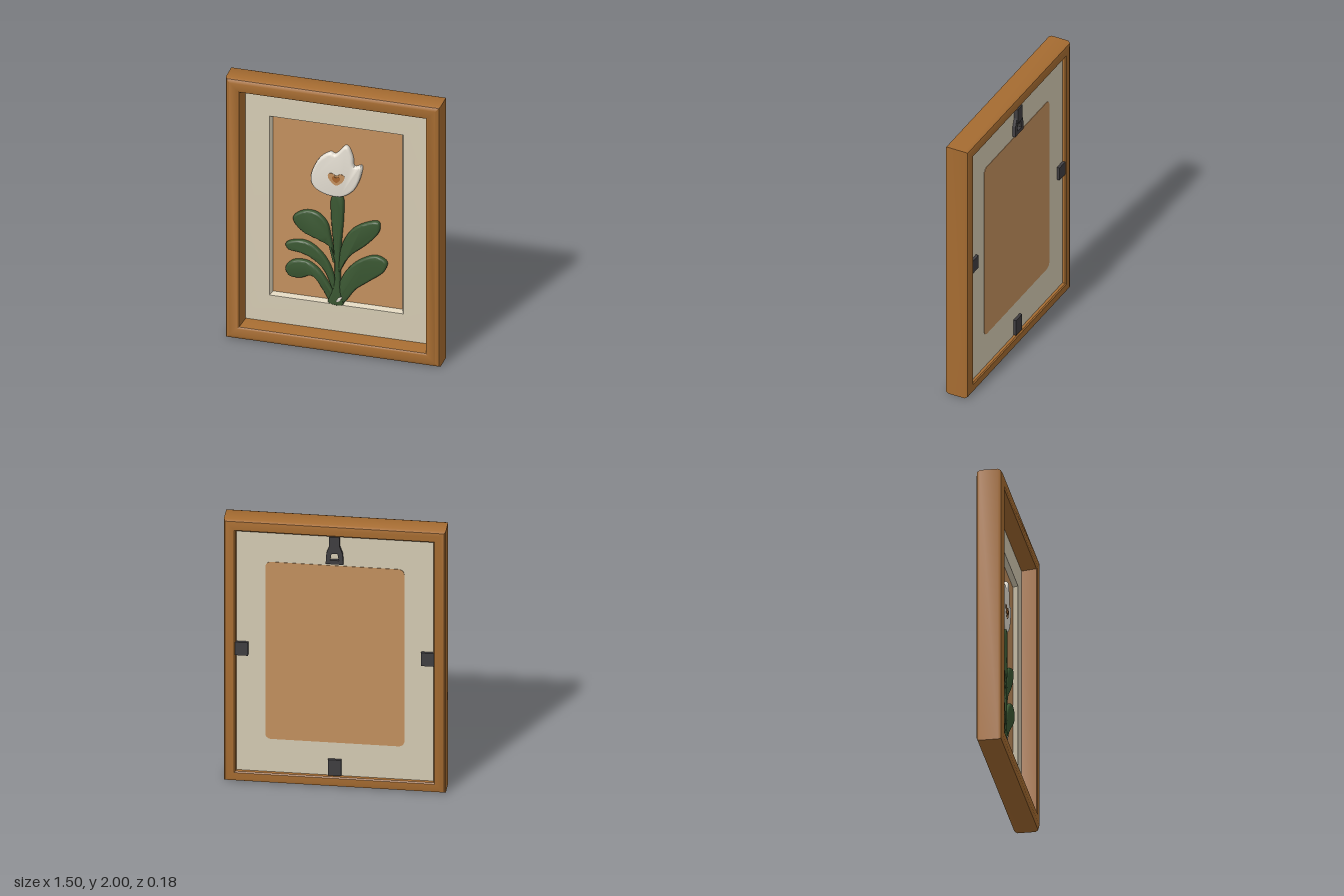
import * as THREE from 'three';
import { toCreasedNormals } from 'three/addons/utils/BufferGeometryUtils.js';

const mat = (name, color) => {
  const m = new THREE.MeshStandardMaterial({ color });
  m.name = name;
  return m;
};

// Sweeps a profile of [inset, z] points around a rectangle with mitred corners
function rectRing(halfW, halfH, cy, profile) {
  const corners = [[1, 1], [-1, 1], [-1, -1], [1, -1]];
  const at = (c, [inset, z]) => [c[0] * (halfW - inset), cy + c[1] * (halfH - inset), z];
  const pos = [];
  for (let i = 0; i < 4; i++) {
    const c0 = corners[i], c1 = corners[(i + 1) % 4];
    for (let j = 0; j < profile.length - 1; j++) {
      const a = at(c0, profile[j]), b = at(c1, profile[j]);
      const c = at(c1, profile[j + 1]), d = at(c0, profile[j + 1]);
      pos.push(...a, ...b, ...c, ...a, ...c, ...d);
    }
  }
  const g = new THREE.BufferGeometry();
  g.setAttribute('position', new THREE.Float32BufferAttribute(pos, 3));
  g.computeVertexNormals();
  return toCreasedNormals(g, 0.6);
}

// Closed smooth outline through a few points
function outline(points, samples = 56) {
  const curve = new THREE.CatmullRomCurve3(
    points.map(([x, y]) => new THREE.Vector3(x, y, 0)), true, 'centripetal');
  return new THREE.Shape(curve.getPoints(samples).slice(0, -1).map(p => new THREE.Vector2(p.x, p.y)));
}

// Pillow-edged relief standing on z0 and rising to z1
function relief(points, z0, z1, bevel) {
  const g = new THREE.ExtrudeGeometry(outline(points), {
    depth: z1 - z0 - bevel, bevelEnabled: true, bevelThickness: bevel,
    bevelSize: bevel, bevelOffset: -bevel, bevelSegments: 4, steps: 1,
  });
  g.translate(0, 0, z0);
  return toCreasedNormals(g, 0.9);
}

function plate(shape, z, depth) {
  const g = new THREE.ExtrudeGeometry(shape, { depth, bevelEnabled: false });
  g.translate(0, 0, z);
  return g;
}

function roundedRect(hw, y0, y1, r) {
  const s = new THREE.Shape();
  s.absarc(hw - r, y1 - r, r, 0, Math.PI / 2);
  s.absarc(-hw + r, y1 - r, r, Math.PI / 2, Math.PI);
  s.absarc(-hw + r, y0 + r, r, Math.PI, Math.PI * 1.5);
  s.absarc(hw - r, y0 + r, r, Math.PI * 1.5, Math.PI * 2);
  return s;
}

export function createModel() {
  const root = new THREE.Group();
  root.name = 'framedFlower';
  const wood = mat('wood', 0xa66c31);
  const cream = mat('cream mat board', 0xd6ccb4);
  const tan = mat('tan print', 0xc4915f);
  const green = mat('leaf green', 0x3a5732);
  const white = mat('petal white', 0xe6e0d4);
  const rust = mat('rust centre', 0xa8662f);
  const metal = mat('dark metal', 0x403e41);

  const add = (name, geo, material, parent = root) => {
    const m = new THREE.Mesh(geo, material);
    m.name = name;
    parent.add(m);
    return m;
  };
  const box = (name, material, x0, x1, y0, y1, z0, z1, parent) => {
    const g = new THREE.BoxGeometry(x1 - x0, y1 - y0, z1 - z0);
    g.translate((x0 + x1) / 2, (y0 + y1) / 2, (z0 + z1) / 2);
    return add(name, g, material, parent);
  };

  // Wooden frame with softened outer edges and a sloped inner lip
  add('frame', rectRing(0.75, 1, 1, [
    [0.03, -0.09], [0.01, -0.083], [0, -0.065], [0, 0.06], [0.008, 0.078], [0.03, 0.09],
    [0.085, 0.09], [0.097, 0.082], [0.115, -0.01], [0.115, -0.045], [0.085, -0.06],
    [0.08, -0.083], [0.072, -0.09], [0.03, -0.09],
  ]), wood);

  // Mat board with a bevelled window, backing board and print
  add('matBoard', rectRing(0.68, 0.9, 1.01, [
    [0, -0.05], [0, -0.018], [0.205, -0.012], [0.212, -0.012], [0.23, -0.046],
  ]), cream);
  box('backingBoard', cream, -0.68, 0.68, 0.07, 1.93, -0.066, -0.05);
  box('print', tan, -0.49, 0.49, 0.29, 1.73, -0.05, -0.044);
  add('printBack', plate(roundedRect(0.47, 0.335, 1.69, 0.04), -0.069, 0.004), tan);

  // Plant: stem and five leaves in low relief
  const plant = new THREE.Group();
  plant.name = 'plant';
  root.add(plant);
  const base = -0.044;
  add('stem', relief([
    [-0.035, 1.14], [0, 1.165], [0.04, 1.14], [0.045, 1.0], [0.03, 0.8], [0.022, 0.6],
    [0.03, 0.42], [0.045, 0.32], [-0.01, 0.312], [-0.06, 0.33], [-0.022, 0.45],
    [-0.015, 0.6], [-0.025, 0.8], [-0.04, 1.0],
  ], base, -0.008, 0.014), green, plant);
  const leaves = {
    upperRightLeaf: [[0.01, 0.56], [0.035, 0.78], [0.1, 0.9], [0.2, 0.97], [0.29, 0.99],
      [0.295, 0.92], [0.21, 0.81], [0.09, 0.7]],
    upperLeftLeaf: [[-0.305, 0.945], [-0.23, 1.0], [-0.14, 0.998], [-0.07, 0.93], [-0.045, 0.83],
      [-0.01, 0.63], [-0.05, 0.75], [-0.12, 0.79], [-0.23, 0.835], [-0.295, 0.9]],
    middleLeftLeaf: [[-0.358, 0.73], [-0.27, 0.768], [-0.185, 0.755], [-0.095, 0.68], [-0.035, 0.57],
      [0, 0.4], [-0.03, 0.43], [-0.085, 0.56], [-0.16, 0.635], [-0.25, 0.675], [-0.34, 0.69]],
    lowerLeftLeaf: [[-0.36, 0.545], [-0.31, 0.605], [-0.21, 0.615], [-0.13, 0.565], [-0.05, 0.45],
      [0.01, 0.33], [-0.05, 0.34], [-0.1, 0.42], [-0.175, 0.51], [-0.25, 0.485], [-0.33, 0.487]],
    lowerRightLeaf: [[0.0, 0.33], [0.02, 0.49], [0.07, 0.59], [0.16, 0.68], [0.275, 0.728],
      [0.348, 0.69], [0.33, 0.62], [0.22, 0.525], [0.13, 0.45], [0.045, 0.335]],
  };
  for (const [name, pts] of Object.entries(leaves)) {
    add(name, relief(pts, base, -0.012, 0.014), green, plant);
  }
  add('baseSeed', relief([[0, 0.345], [0.02, 0.35], [0.04, 0.385], [0.02, 0.38]], -0.02, -0.005, 0.002),
    white, plant);

  // Blossom with three petal tips and a heart-shaped centre
  add('blossom', relief([
    [-0.16, 1.2], [-0.182, 1.27], [-0.13, 1.41], [-0.045, 1.478], [-0.012, 1.468],
    [0.066, 1.545], [0.108, 1.47], [0.122, 1.392], [0.172, 1.405], [0.157, 1.29],
    [0.108, 1.2], [0.03, 1.15], [-0.08, 1.155],
  ], base, -0.006, 0.018), white, plant);
  const heart = [[0, 0.03], [0.03, 0.045], [0.056, 0.035], [0.052, 0], [0, -0.045],
    [-0.052, 0], [-0.056, 0.035], [-0.03, 0.045]];
  const heartAt = (s) => outline(heart.map(([x, y]) => [x * s, y * s + 1.285]), 32);
  add('centre', plate(heartAt(1), -0.008, 0.004), tan, plant);
  add('centreSpot', plate(heartAt(0.5), -0.006, 0.004), rust, plant);

  // Retaining clips on the back
  const clips = new THREE.Group();
  clips.name = 'backClips';
  root.add(clips);
  for (const s of [-1, 1]) {
    const [a, b] = s > 0 ? [0.585, 0.675] : [-0.675, -0.585];
    box('sideClip', metal, a, b, 0.97, 1.07, -0.086, -0.06, clips);
  }
  box('bottomClip', metal, -0.045, 0.045, 0.09, 0.21, -0.086, -0.06, clips);

  // Hanger: mounting tab and a tapered open loop
  box('hangerTab', metal, -0.035, 0.035, 1.81, 1.92, -0.094, -0.06, clips);
  const loop = new THREE.Shape([[-0.06, 1.71], [0.06, 1.71], [0.055, 1.79], [0.03, 1.86],
    [-0.03, 1.86], [-0.055, 1.79]].map(p => new THREE.Vector2(...p)));
  loop.holes.push(new THREE.Path([[-0.03, 1.74], [-0.02, 1.79], [0.02, 1.79], [0.03, 1.74]]
    .map(p => new THREE.Vector2(...p))));
  add('hangerLoop', plate(loop, -0.088, 0.025), metal, clips);

  return root;
}
